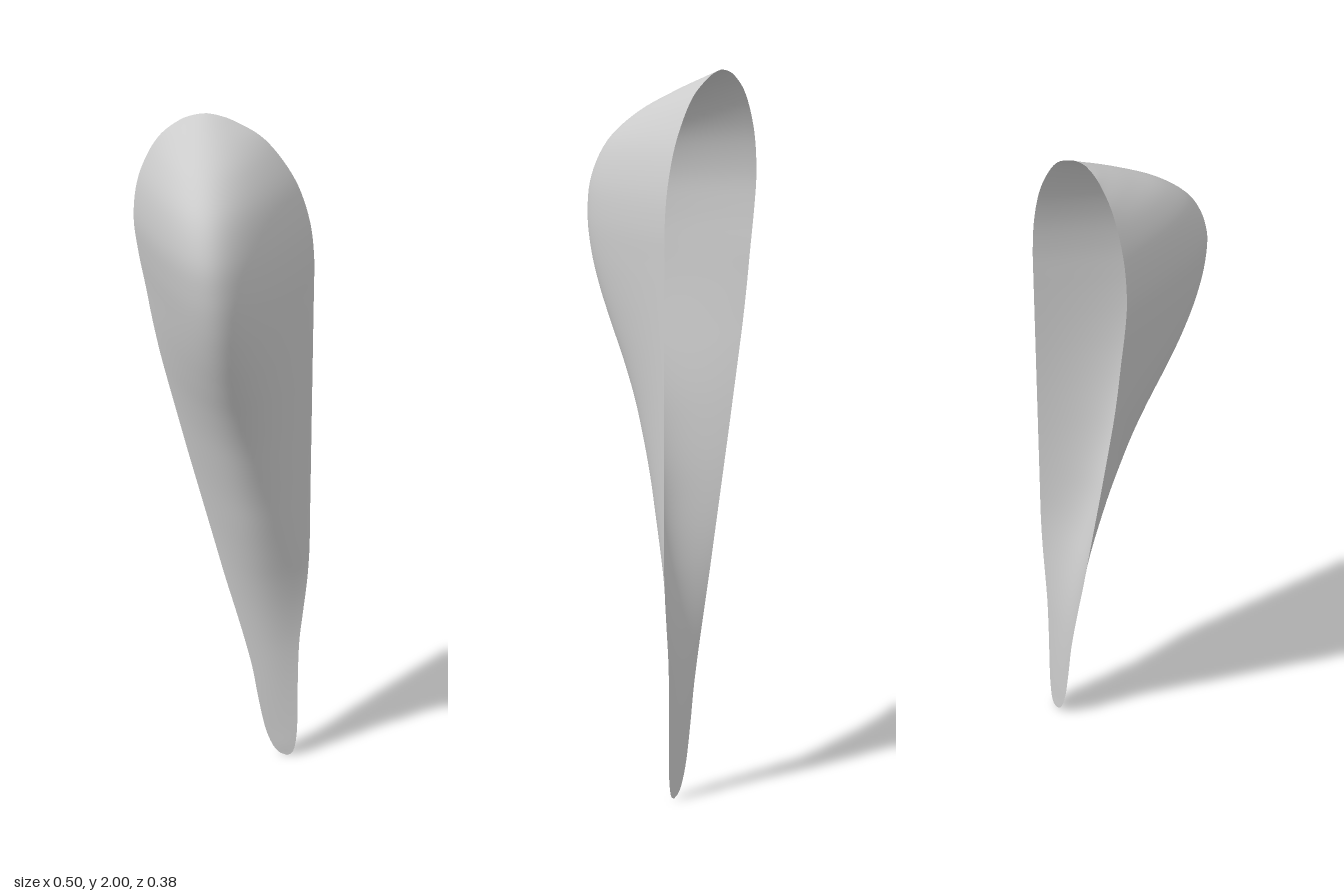
import * as THREE from 'three';

const BACK = -0.192;

// Cross-sections from tip to crown: height, left rim x, right rim x, depth of bulge
const SECTIONS = [
  [0, 0.193, 0.193, 0], [0.01, 0.168, 0.208, 0], [0.04, 0.146, 0.217, 0.001],
  [0.1, 0.124, 0.222, 0.001], [0.2, 0.103, 0.222, 0.003], [0.3, 0.085, 0.222, 0.007],
  [0.4, 0.06, 0.225, 0.014], [0.5, 0.032, 0.235, 0.027], [0.6, 0.003, 0.245, 0.047],
  [0.7, -0.024, 0.25, 0.073], [0.8, -0.051, 0.25, 0.1], [0.9, -0.078, 0.25, 0.126],
  [1, -0.105, 0.25, 0.157], [1.1, -0.131, 0.25, 0.192], [1.2, -0.157, 0.25, 0.236],
  [1.3, -0.182, 0.25, 0.286], [1.4, -0.203, 0.25, 0.332], [1.5, -0.221, 0.25, 0.366],
  [1.6, -0.24, 0.249, 0.383], [1.7, -0.252, 0.236, 0.378], [1.8, -0.242, 0.203, 0.332],
  [1.88, -0.213, 0.154, 0.242], [1.94, -0.174, 0.098, 0.131], [1.98, -0.122, 0.026, 0.045],
  [1.995, -0.083, -0.018, 0.011], [2, -0.05, -0.05, 0],
];

// Smooth curve through one column of the sections
const curveOf = (column) => new THREE.CatmullRomCurve3(
  SECTIONS.map((s) => new THREE.Vector3(s[column], s[0], s[3])), false, 'catmullrom', 0.5);

function shellGeometry(across, along) {
  const left = curveOf(1), right = curveOf(2);
  const geometry = new THREE.PlaneGeometry(1, 1, across, along);
  const pos = geometry.attributes.position;
  for (let i = 0; i < pos.count; i++) {
    const u = pos.getX(i) * 2;
    const t = pos.getY(i) + 0.5;
    const a = left.getPoint(t), b = right.getPoint(t);
    // Each section is a cosine arch between the two flat rims
    const depth = Math.max(0, a.z) * Math.cos(u * Math.PI / 2);
    pos.setXYZ(i, THREE.MathUtils.lerp(a.x, b.x, (u + 1) / 2), a.y, BACK + depth);
  }
  geometry.computeVertexNormals();
  return geometry;
}

export function createModel() {
  const group = new THREE.Group();
  group.name = 'hollowShell';
  // Thin scooped shell, open at the back
  const shell = new THREE.Mesh(shellGeometry(40, 125),
    new THREE.MeshStandardMaterial({ color: 0xcccccc, side: THREE.DoubleSide }));
  shell.name = 'shell';
  group.add(shell);
  return group;
}
